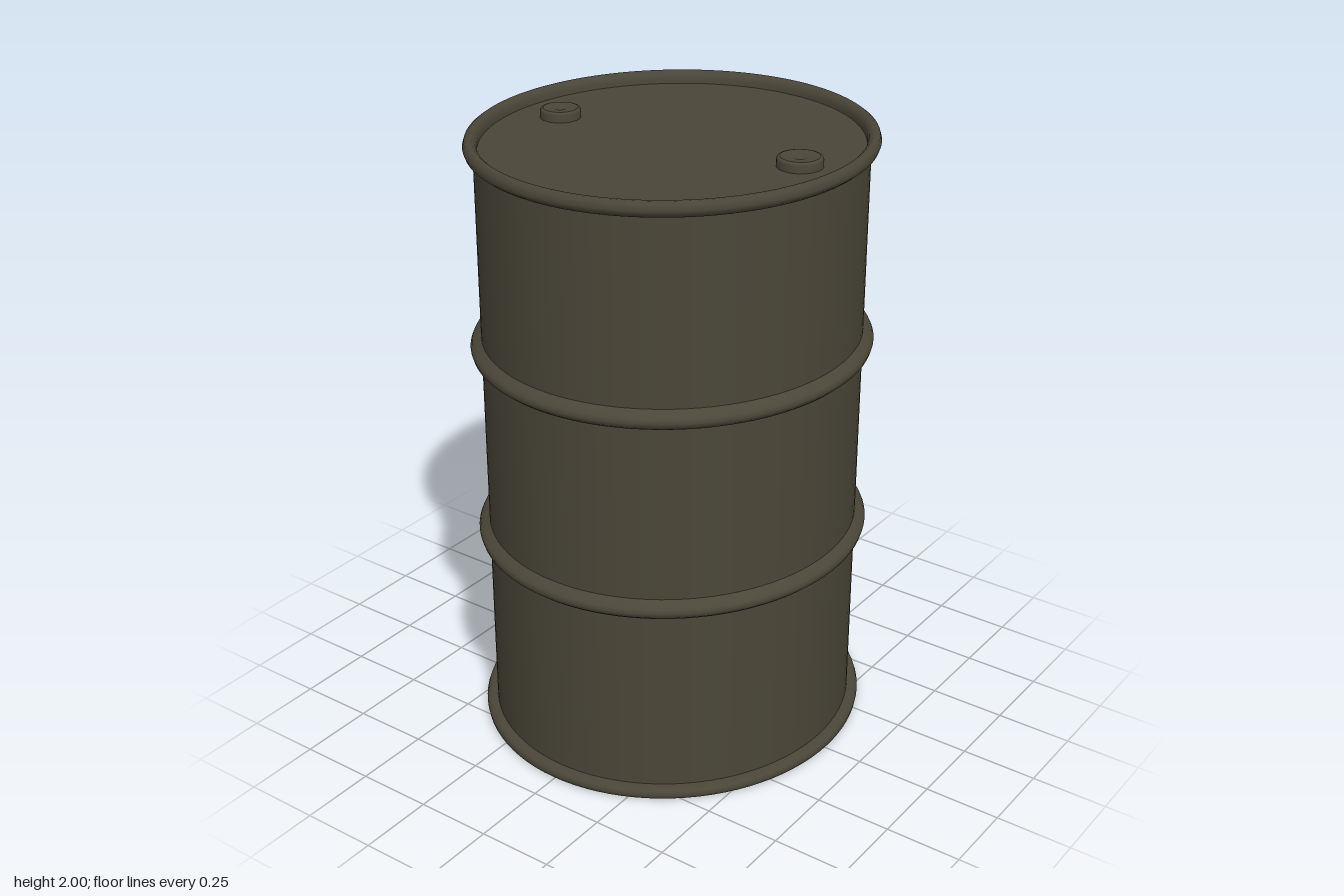
import * as THREE from 'three';

const SEGMENTS = 96;

export function createModel() {
  const model = new THREE.Group();
  model.name = 'drum';
  const paint = new THREE.MeshStandardMaterial({ color: 0x4a4638 });
  paint.name = 'dark olive paint';

  // Turns a [radius, height] profile; outside runs upwards, tops run inwards
  const turn = (name, profile, parent = model, segments = SEGMENTS) => {
    const points = profile.map(([r, y]) => new THREE.Vector2(r, y));
    const mesh = new THREE.Mesh(new THREE.LatheGeometry(points, segments), paint);
    mesh.name = name;
    parent.add(mesh);
    return mesh;
  };

  // The drum is slightly deeper than it is wide
  const shell = new THREE.Group();
  shell.name = 'shell';
  shell.scale.z = 1.055;
  model.add(shell);

  turn('wall', [[0.588, 0.015], [0.588, 1.97]], shell);

  // Two rolled hoops around the wall
  [0.69, 1.33].forEach((y, i) => {
    turn(['lowerHoop', 'upperHoop'][i], [
      [0.586, y - 0.026], [0.606, y - 0.024], [0.617, y - 0.014], [0.621, y],
      [0.616, y + 0.012], [0.604, y + 0.021], [0.594, y + 0.028], [0.586, y + 0.034],
    ], shell);
  });

  // Rolled rims: the top one stands above the lid, the bottom one below the base
  turn('topRim', [
    [0.586, 1.95], [0.6, 1.952], [0.612, 1.962], [0.617, 1.976], [0.612, 1.992],
    [0.602, 2], [0.59, 1.999], [0.58, 1.99], [0.575, 1.976], [0.574, 1.955],
  ], shell);
  turn('bottomRim', [
    [0.575, 0.022], [0.577, 0.008], [0.584, 0], [0.612, 0], [0.621, 0.007],
    [0.623, 0.019], [0.619, 0.031], [0.608, 0.037], [0.586, 0.038],
  ], shell);

  // Recessed end plates
  turn('lid', [[0.58, 1.962], [0, 1.962]], shell);
  turn('base', [[0, 0.014], [0.58, 0.014]], shell);

  // Two screw caps with a shallow dimple
  [['leftCap', 0.43, -0.035, 0.07], ['rightCap', -0.425, 0.01, 0.064]].forEach(([name, x, z, r]) => {
    const cap = new THREE.Group();
    cap.name = name;
    cap.position.set(x, 1.96, z);
    model.add(cap);
    turn(name + 'Side', [[r, 0], [r, 0.024], [r * 0.95, 0.031], [r * 0.85, 0.033]], cap, 32);
    turn(name + 'Top', [[r * 0.85, 0.033], [r * 0.4, 0.032], [r * 0.25, 0.029], [0, 0.029]], cap, 32);
  });

  return model;
}
